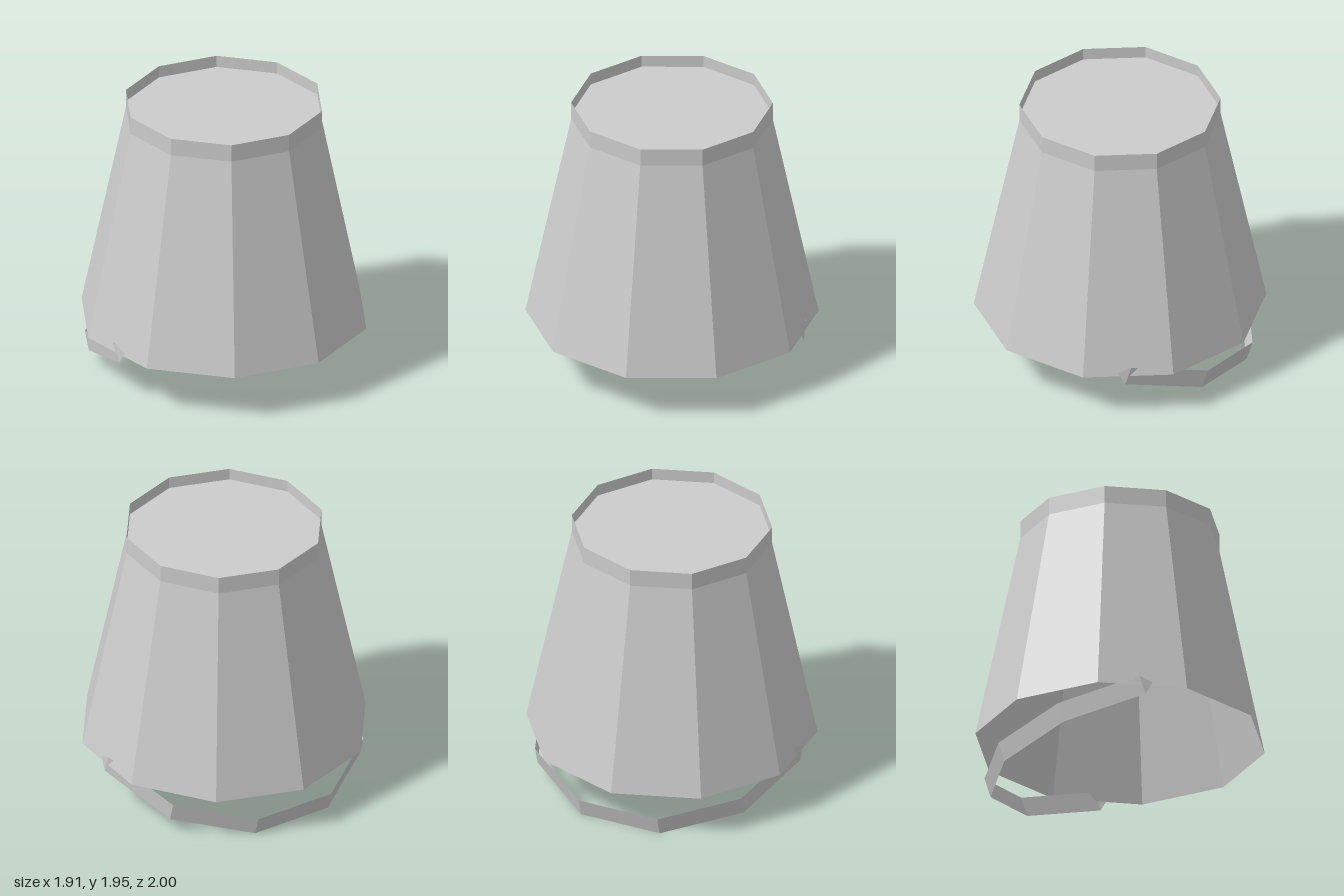
import * as THREE from 'three';

export function createModel() {
  const model = new THREE.Group();
  const grey = new THREE.MeshStandardMaterial({ color: 0xcccccc, side: THREE.DoubleSide, flatShading: true });
  grey.name = 'metal grey';

  const add = (name, geometry, y = 0) => {
    const mesh = new THREE.Mesh(geometry, grey);
    mesh.name = name;
    mesh.position.y = y;
    model.add(mesh);
    return mesh;
  };

  // Upturned pail: tapered ten-sided wall, foot ring and recessed base
  const sides = 10, mouthY = 0.335, ringY = 1.83, topY = 1.955;
  add('wall', new THREE.CylinderGeometry(0.688, 1, ringY - mouthY, sides, 1, true), (mouthY + ringY) / 2);
  add('footRing', new THREE.CylinderGeometry(0.688, 0.688, topY - ringY, sides, 1, true), (ringY + topY) / 2);
  const base = new THREE.CircleGeometry(0.688, sides, Math.PI / 2);
  base.rotateX(-Math.PI / 2);
  add('base', base, 1.87);

  // Flat strip handle: half a decagon, hanging back at a tilt, with pointed ends
  const width = 0.141, radius = 0.955;
  const pos = [], index = [];
  for (let i = 0; i <= 5; i++) {
    const a = (i * Math.PI) / 5;
    for (const h of [-width / 2, width / 2]) pos.push(radius * Math.cos(a), h, -radius * Math.sin(a));
    if (i < 5) index.push(2 * i, 2 * i + 2, 2 * i + 1, 2 * i + 1, 2 * i + 2, 2 * i + 3);
  }
  pos.push(0.95, 0, 0.075, -0.95, 0, 0.075);
  index.push(0, 1, 12, 10, 13, 11);
  const strip = new THREE.BufferGeometry();
  strip.setAttribute('position', new THREE.Float32BufferAttribute(pos, 3));
  strip.setIndex(index);
  const flat = strip.toNonIndexed();
  flat.computeVertexNormals();
  const handle = add('handle', flat, 0.338);
  handle.rotation.x = -0.3;

  return model;
}
